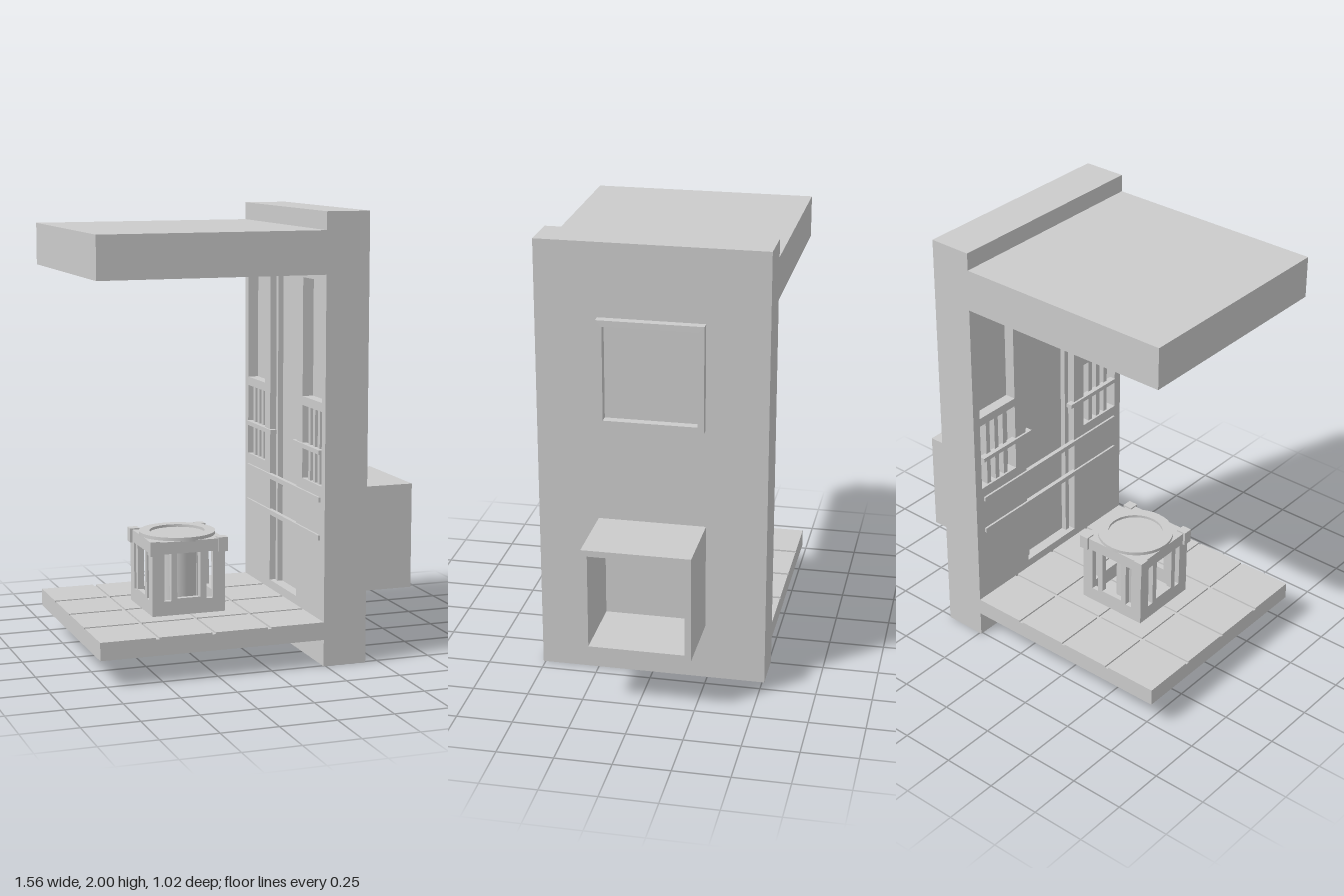
import * as THREE from 'three';

const mat = new THREE.MeshStandardMaterial({ color: 0xcccccc, flatShading: true });
const smooth = new THREE.MeshStandardMaterial({ color: 0xcccccc });
const twoSided = new THREE.MeshStandardMaterial({ color: 0xcccccc, flatShading: true, side: THREE.DoubleSide });

function add(parent, name, geometry, x = 0, y = 0, z = 0, material = mat) {
  const mesh = new THREE.Mesh(geometry, material);
  mesh.name = name;
  mesh.position.set(x, y, z);
  parent.add(mesh);
  return mesh;
}

// Box given by its lower and upper limits on each axis
function block(parent, name, [x0, x1], [y0, y1], [z0, z1]) {
  return add(parent, name, new THREE.BoxGeometry(x1 - x0, y1 - y0, z1 - z0),
    (x0 + x1) / 2, (y0 + y1) / 2, (z0 + z1) / 2);
}

function rectPath(Type, [u0, u1], [v0, v1]) {
  const p = new Type();
  p.moveTo(u0, v0);
  p.lineTo(u1, v0);
  p.lineTo(u1, v1);
  p.lineTo(u0, v1);
  p.closePath();
  return p;
}

// Flat sheet with rectangular holes, extruded along +z
function sheet(u, v, holes, depth) {
  const shape = rectPath(THREE.Shape, u, v);
  for (const [hu, hv] of holes) shape.holes.push(rectPath(THREE.Path, hu, hv));
  return new THREE.ExtrudeGeometry(shape, { depth, bevelEnabled: false });
}

// Solid of revolution with sharp edges between profile segments
function turned(points, segments = 40) {
  return new THREE.LatheGeometry(points.map(([r, y]) => new THREE.Vector2(r, y)), segments);
}

function buildWall() {
  const g = new THREE.Group();
  g.name = 'wall';
  block(g, 'wallCore', [0.29, 0.44], [0, 2], [-0.51, 0.51]);

  // Inner face with a tall central recess and two niches per side
  const holes = [[[-0.17, 0.17], [0.24, 1.7]]];
  for (const s of [-1, 1]) {
    const u = s < 0 ? [-0.47, -0.24] : [0.24, 0.47];
    holes.push([u, [0.8, 1.13]], [u, [1.17, 1.7]]);
  }
  add(g, 'innerFace', sheet([-0.51, 0.51], [0, 2], holes, 0.05).rotateY(Math.PI / 2), 0.24);

  // Vertical bars in the lower niches, and narrow strips in the central recess
  for (const s of [-1, 1]) {
    for (const z of [0.3, 0.355, 0.41])
      block(g, 'nicheBar', [0.25, 0.29], [0.8, 1.13], [s * z - 0.012, s * z + 0.012]);
    block(g, 'recessStrip', [0.265, 0.29], [0.24, 1.7], [s * 0.145 - 0.012, s * 0.145 + 0.012]);
    block(g, 'shortRail', [0.23, 0.26], [0.94, 0.96], [s * 0.3 - 0.16, s * 0.3 + 0.16]);
  }
  // Long horizontal rails
  for (const y of [0.57, 0.74])
    block(g, 'longRail', [0.23, 0.25], [y - 0.011, y + 0.011], [-0.46, 0.46]);
  return g;
}

function buildFloor() {
  const g = new THREE.Group();
  g.name = 'floor';
  block(g, 'floorSlab', [-0.78, 0.24], [0.12, 0.192], [-0.51, 0.51]);
  const cell = 1.02 / 4, gap = 0.008;
  for (let i = 0; i < 4; i++)
    for (let j = 0; j < 4; j++) {
      const x = -0.78 + i * cell, z = -0.51 + j * cell;
      block(g, 'floorTile',
        [x + (i ? gap : 0), x + cell - (i < 3 ? gap : 0)], [0.192, 0.2],
        [z + (j ? gap : 0), z + cell - (j < 3 ? gap : 0)]);
    }
  return g;
}

function buildCeiling() {
  const g = new THREE.Group();
  g.name = 'ceiling';
  block(g, 'ceilingSlab', [-0.78, 0.24], [1.83, 1.92], [-0.51, 0.51]);
  const holes = [];
  for (const i of [-1, 0, 1])
    for (const j of [-1, 0, 1]) {
      const h = i || j ? 0.12 : 0.145, x = -0.27 + i * 0.325, z = j * 0.325;
      holes.push([[x - h, x + h], [z - h, z + h]]);
      // Sloping sides of each coffer
      const sides = new THREE.CylinderGeometry((h - 0.035) * Math.SQRT2, h * Math.SQRT2, 0.1, 4, 1, true);
      add(g, 'cofferSides', sides.rotateY(Math.PI / 4), x, 1.78, z, twoSided);
    }
  add(g, 'cofferGrid', sheet([-0.78, 0.24], [-0.51, 0.51], holes, 0.1).rotateX(Math.PI / 2), 0, 1.83, 0);
  return g;
}

function buildPedestal() {
  const g = new THREE.Group();
  g.name = 'pedestal';
  g.position.set(-0.273, 0.2, 0);
  // Four pierced sides, each with one window between two slots
  const openings = [[[-0.055, 0.055], [0.075, 0.28]]];
  for (const s of [-1, 1])
    openings.push([[s * 0.098 - 0.016, s * 0.098 + 0.016], [0.065, 0.28]]);
  for (let k = 0; k < 4; k++) {
    const side = sheet([-0.15, 0.15], [0, 0.33], openings, 0.025).translate(0, 0, 0.145);
    add(g, 'pedestalSide', side.rotateY(k * Math.PI / 2));
    const a = Math.PI / 4 + k * Math.PI / 2;
    const x = Math.SQRT2 * Math.cos(a), z = Math.SQRT2 * Math.sin(a);
    add(g, 'cornerPost', new THREE.BoxGeometry(0.03, 0.33, 0.03), x * 0.155, 0.165, z * 0.155);
    add(g, 'cornerBracket', new THREE.BoxGeometry(0.045, 0.065, 0.045), x * 0.159, 0.309, z * 0.159);
  }
  add(g, 'pedestalTop', new THREE.BoxGeometry(0.34, 0.02, 0.34), 0, 0.325, 0);
  add(g, 'innerColumn', new THREE.CylinderGeometry(0.085, 0.085, 0.32, 32), 0, 0.16, 0, smooth);
  // Round rim with a sunken centre
  const rim = [[0.173, 0.33], [0.173, 0.35], [0.125, 0.35], [0.125, 0.338], [0, 0.338]];
  for (let i = 0; i < rim.length - 1; i++)
    add(g, 'topRim', turned([rim[i], rim[i + 1]]), 0, 0, 0, smooth);
  return g;
}

// Rectangular frame standing out from the outer wall face
function outerFrame(name, y0, y1, half, thickness, depth) {
  const hole = [[-half + thickness, half - thickness], [y0 + thickness, y1 - thickness]];
  const geo = sheet([-half, half], [y0, y1], [hole], depth).rotateY(Math.PI / 2).translate(0.44, 0, 0);
  const mesh = new THREE.Mesh(geo, mat);
  mesh.name = name;
  return mesh;
}

export function createModel() {
  const model = new THREE.Group();
  model.name = 'roomSection';
  model.add(buildWall(), buildFloor(), buildCeiling(), buildPedestal());
  model.add(outerFrame('openDuct', 0.255, 0.74, 0.24, 0.028, 0.34));
  model.add(outerFrame('panelFrame', 1.19, 1.67, 0.235, 0.028, 0.04));
  return model;
}
